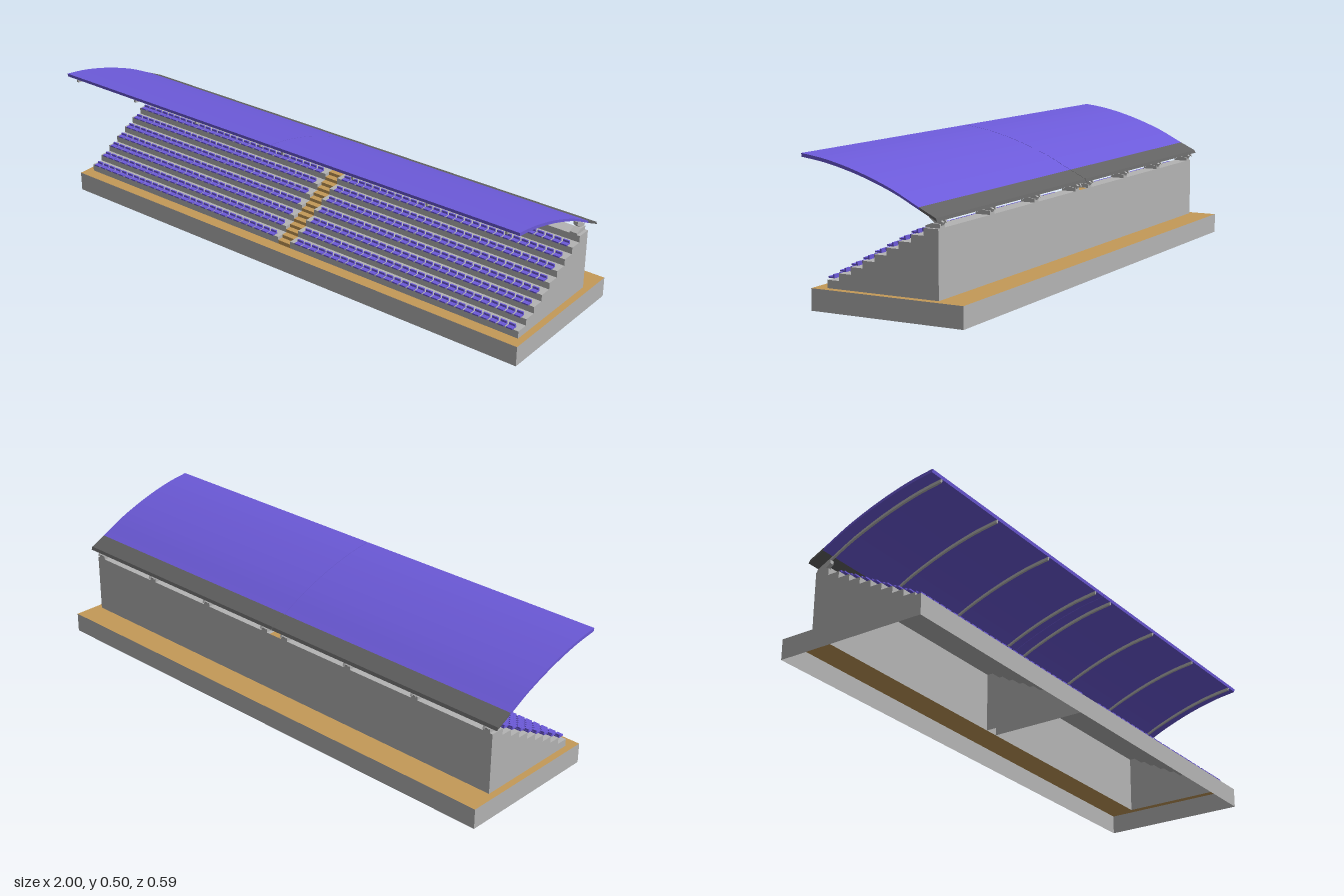
import * as THREE from 'three';
import { mergeGeometries } from 'three/addons/utils/BufferGeometryUtils.js';

const material = (name, color) => {
  const m = new THREE.MeshStandardMaterial({ color, side: THREE.DoubleSide });
  m.name = name;
  return m;
};

// Moves a shape drawn in (z, y) onto the side plane at a given x
const toSide = (geometry, x) => geometry.rotateY(-Math.PI / 2).translate(x, 0, 0);
const shapeOf = (points) => new THREE.Shape(points.map(([z, y]) => new THREE.Vector2(z, y)));

// Prism from a (z, y) outline, running from x0 to x1
const prism = (points, x0, x1) =>
  toSide(new THREE.ExtrudeGeometry(shapeOf(points), { depth: x1 - x0, bevelEnabled: false }), x1);

// Open sheet following a (z, y) path, running from x0 to x1
function sheet(path, x0, x1) {
  const pos = [];
  for (let i = 0; i < path.length - 1; i++) {
    const [za, ya] = path[i], [zb, yb] = path[i + 1];
    pos.push(x0, ya, za, x1, ya, za, x1, yb, zb, x0, ya, za, x1, yb, zb, x0, yb, zb);
  }
  const g = new THREE.BufferGeometry();
  g.setAttribute('position', new THREE.Float32BufferAttribute(pos, 3));
  g.computeVertexNormals();
  return g;
}

export function createModel() {
  const model = new THREE.Group();
  const concrete = material('concrete', 0xb4b4b4);
  const tan = material('tan paving', 0xc49a58);
  const purple = material('purple', 0x6c5ad9);
  const charcoal = material('charcoal', 0x626262);
  const add = (name, geometry, mat) => {
    const mesh = new THREE.Mesh(geometry, mat);
    mesh.name = name;
    model.add(mesh);
    return mesh;
  };

  const floor = 0.073, back = -0.193, front = 0.22;
  const run = 0.045, rise = 0.0243, levels = 9, end = 0.975;
  const levelZ = (i) => front - i * run;
  const levelY = (i) => 0.1 + i * rise;

  // Base: four walls, open underneath
  const baseFront = 0.265, baseBack = -0.295;
  const wall = (z) => new THREE.PlaneGeometry(2, floor).translate(0, floor / 2, z);
  add('baseFrontWall', wall(baseFront), concrete);
  add('baseBackWall', wall(baseBack).rotateY(Math.PI).translate(0, 0, 2 * baseBack), concrete);
  for (const s of [-1, 1]) {
    const g = new THREE.PlaneGeometry(baseFront - baseBack, floor).rotateY(s * Math.PI / 2);
    add('baseEndWall', g.translate(s, floor / 2, (baseFront + baseBack) / 2), concrete);
  }

  // Paved walkway around the stand
  const rect = (T, x, z0, z1) => {
    const p = new T();
    p.moveTo(-x, -z0).lineTo(x, -z0).lineTo(x, -z1).lineTo(-x, -z1).closePath();
    return p;
  };
  const ring = rect(THREE.Shape, 1, baseFront, baseBack);
  ring.holes.push(rect(THREE.Path, end, front, back));
  add('walkway', new THREE.ShapeGeometry(ring).rotateX(-Math.PI / 2).translate(0, floor, 0), tan);

  // Terraces either side of the aisle: stepped shells, open underneath
  const steps = [[front, floor]];
  const aisle = [[front, floor]];
  for (let i = 0; i < levels; i++) {
    const z = levelZ(i), y = levelY(i);
    const next = i < levels - 1 ? levelZ(i + 1) : back;
    steps.push([z, y], [next, y]);
    // aisle has a half step cut into each terrace
    const mid = z - run / 2;
    aisle.push([z, y - rise / 2], [mid, y - rise / 2], [mid, y], [next, y]);
  }
  const aisleL = -0.033, aisleR = 0.022;
  for (const [x0, x1] of [[-end, aisleL], [aisleR, end]]) {
    add('terrace', sheet(steps, x0, x1), concrete);
    for (const x of [x0, x1]) {
      add('terraceEnd', toSide(new THREE.ShapeGeometry(shapeOf([...steps, [back, floor]])), x), concrete);
    }
  }
  add('aisleStairs', sheet(aisle, aisleL, aisleR), tan);
  add('backWall', sheet([[back, levelY(levels - 1)], [back, floor]], -end, end), concrete);

  // Seats: a pad and a low backrest, overhanging each step
  const perRow = 28, first = 0.062, last = 0.945;
  const seats = [];
  for (let i = 0; i < levels - 1; i++) {
    for (let k = 0; k < perRow; k++) {
      for (const s of [-1, 1]) {
        const x = s * (first + (last - first) * k / (perRow - 1));
        const z = levelZ(i), y = levelY(i);
        seats.push(
          new THREE.BoxGeometry(0.024, 0.005, 0.024).translate(x, y + 0.005, z - 0.003),
          new THREE.BoxGeometry(0.024, 0.010, 0.006).translate(x, y + 0.010, z - 0.011));
      }
    }
  }
  add('seats', mergeGeometries(seats), purple);

  // Roof: curved slab in two halves, with a dark band along the back
  const curve = new THREE.SplineCurve([
    [0.293, 0.501], [0.2, 0.487], [0.085, 0.457], [-0.035, 0.413], [-0.13, 0.366], [-0.2, 0.332],
  ].map(([z, y]) => new THREE.Vector2(z, y)));
  const band = (t0, t1, d0, d1, n = 16) => {
    const top = [], bottom = [];
    for (let i = 0; i <= n; i++) {
      const t = t0 + (t1 - t0) * i / n;
      const p = curve.getPoint(t), v = curve.getTangent(t);
      top.push([p.x + v.y * d0, p.y - v.x * d0 * -1]);
      bottom.unshift([p.x + v.y * d1, p.y + v.x * d1]);
    }
    return [...top, ...bottom];
  };
  const split = 0.825;
  for (const [x0, x1] of [[-1, -0.001], [0.001, 1]]) {
    add('roofPanel', prism(band(0, split, 0, 0.012), x0, x1), purple);
    add('roofBackBand', prism(band(split, 1, 0, 0.012, 5), x0, x1), charcoal);
  }

  // Roof ribs with brackets and feet on the back wall
  const topY = levelY(levels - 1);
  for (const s of [-1, 1]) {
    for (const d of [0.05, 0.35, 0.65, 0.95]) {
      const x = s * d;
      add('roofRib', prism(band(0, 1, 0.0125, 0.023), x - 0.004, x + 0.004), concrete);
      add('ribBracket', prism([[-0.15, 0.337], [-0.2, 0.313], [-0.193, 0.302], [-0.172, 0.308], [-0.15, 0.325]],
        x - 0.008, x + 0.008), concrete);
      add('ribFoot', prism([[-0.14, topY], [-0.14, topY + 0.006], [-0.165, topY + 0.015], [back, topY + 0.013], [back, topY]],
        x - 0.014, x + 0.014), concrete);
    }
  }
  return model;
}
